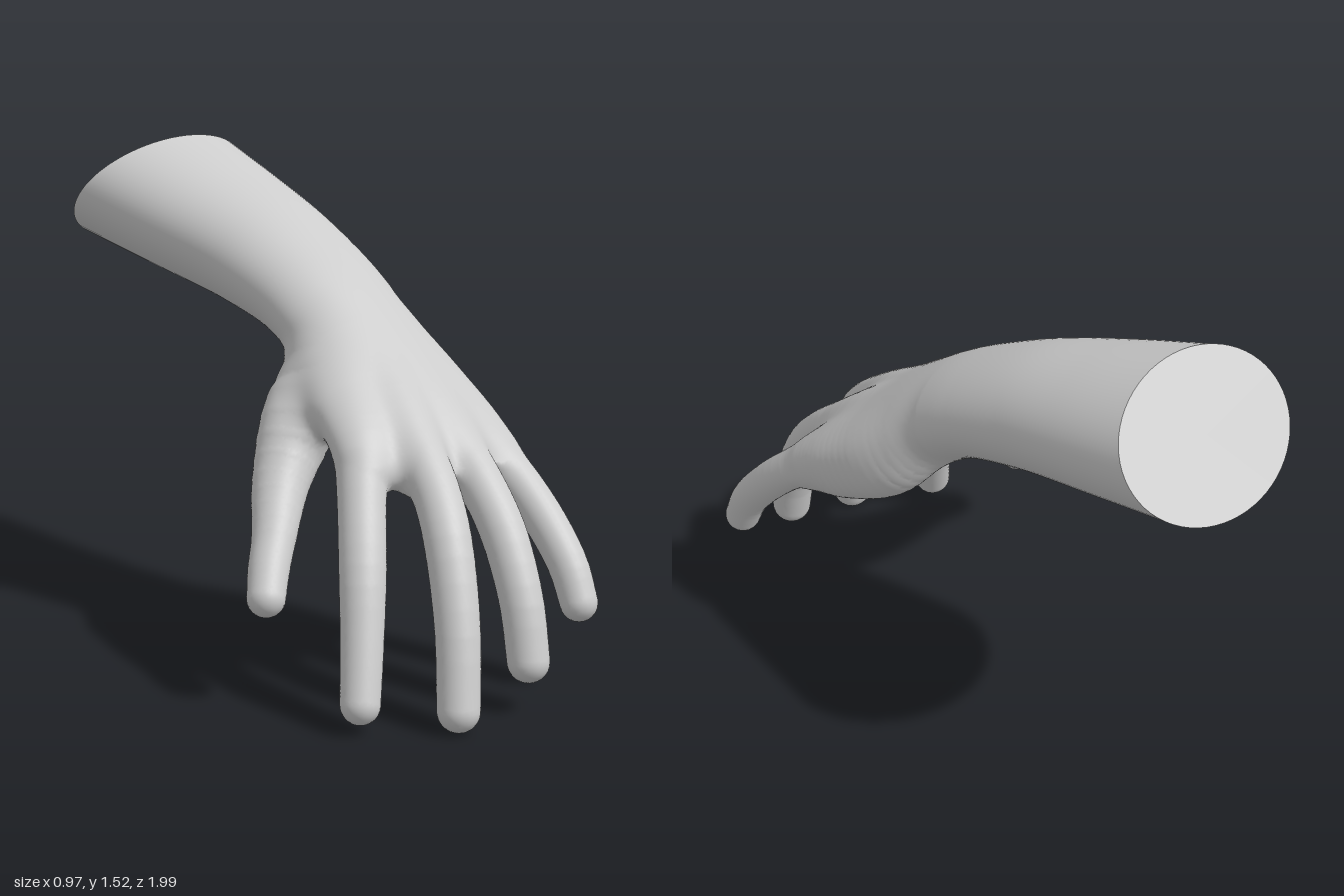
import * as THREE from 'three';

const V = (x, y, z) => new THREE.Vector3(x, y, z);
const spline = (list) => new THREE.CatmullRomCurve3(list);

// Forearm and palm sections: topY, topZ, bottomY, bottomZ, right x, left x, palm hollow
const SECTIONS = [
  [1.52, -0.69, 1.155, -1.0, -0.17, 0.482, 0],
  [1.435, -0.45, 1.085, -0.68, -0.125, 0.45, 0],
  [1.345, -0.22, 1.015, -0.36, -0.075, 0.418, 0],
  [1.24, -0.02, 0.945, -0.13, -0.052, 0.402, 0],
  [1.165, 0.1, 0.88, -0.02, -0.05, 0.395, 0],
  [1.07, 0.225, 0.8, 0.08, -0.085, 0.405, 0.2],
  [0.95, 0.37, 0.725, 0.22, -0.16, 0.425, 0.3],
  [0.835, 0.505, 0.655, 0.38, -0.19, 0.43, 0.25],
  [0.735, 0.595, 0.605, 0.48, -0.15, 0.405, 0.1],
  [0.665, 0.63, 0.59, 0.55, -0.06, 0.34, 0],
];
const STEPS = 90, WRIST = 30;

// Fingers and pads as [x, y, z, radius] points, with the width of their blend into the hand
const LIMBS = {
  palmHeel: { blend: 0.1, points: [
    [0.27, 0.93, 0.1, 0.04], [0.32, 0.81, 0.2, 0.095], [0.352, 0.7, 0.37, 0.082],
    [0.355, 0.63, 0.52, 0.055]] },
  thumb: { blend: 0.09, points: [
    [0.06, 0.94, 0.08, 0.05], [-0.065, 0.795, 0.14, 0.115], [-0.225, 0.61, 0.225, 0.088],
    [-0.33, 0.475, 0.315, 0.067], [-0.388, 0.398, 0.36, 0.062], [-0.432, 0.33, 0.4, 0.058]] },
  indexFinger: { blend: 0.045, points: [
    [0.03, 0.93, 0.22, 0.045], [-0.06, 0.815, 0.355, 0.065], [-0.125, 0.715, 0.465, 0.076],
    [-0.2, 0.575, 0.555, 0.071], [-0.268, 0.42, 0.635, 0.069], [-0.325, 0.245, 0.697, 0.063],
    [-0.376, 0.084, 0.747, 0.059]] },
  middleFinger: { blend: 0.045, points: [
    [0.12, 0.94, 0.25, 0.045], [0.065, 0.825, 0.425, 0.065], [0.015, 0.705, 0.575, 0.075],
    [-0.02, 0.61, 0.685, 0.071], [-0.062, 0.495, 0.775, 0.07], [-0.115, 0.28, 0.87, 0.066],
    [-0.16, 0.063, 0.925, 0.063]] },
  ringFinger: { blend: 0.045, points: [
    [0.2, 0.93, 0.25, 0.045], [0.19, 0.81, 0.425, 0.064], [0.18, 0.695, 0.57, 0.074],
    [0.167, 0.6, 0.69, 0.069], [0.152, 0.495, 0.785, 0.068], [0.13, 0.32, 0.882, 0.065],
    [0.115, 0.152, 0.93, 0.063]] },
  littleFinger: { blend: 0.045, points: [
    [0.28, 0.89, 0.25, 0.045], [0.315, 0.77, 0.4, 0.062], [0.35, 0.66, 0.535, 0.07],
    [0.368, 0.57, 0.65, 0.064], [0.374, 0.468, 0.755, 0.062], [0.372, 0.365, 0.84, 0.06],
    [0.365, 0.27, 0.89, 0.057]] },
};

// Elliptic sections sampled along the forearm and palm
function sampleSections() {
  const [top, bottom, span] = [(s) => V(0, s[0], s[1]), (s) => V(0, s[2], s[3]),
    (s) => V(s[4], s[5], s[6])].map((f) => spline(SECTIONS.map(f)));
  return Array.from({ length: STEPS + 1 }, (_, i) => {
    const a = top.getPoint(i / STEPS), b = bottom.getPoint(i / STEPS);
    const w = span.getPoint(i / STEPS), thick = a.distanceTo(b) / 2;
    return { x: (w.x + w.y) / 2, y: (a.y + b.y) / 2, z: (a.z + b.z) / 2, half: (w.y - w.x) / 2,
      thick, uy: (a.y - b.y) / 2 / thick, uz: (a.z - b.z) / 2 / thick, hollow: w.z };
  });
}

// Height of a point in front of a section's plane
const ahead = (s, y, z) => (z - s.z) * s.uy - (y - s.y) * s.uz;

// Position along the arm, in section steps, found by halving
function stepAt(sections, y, z) {
  let lo = 0, hi = STEPS;
  while (hi - lo > 1) {
    const mid = (lo + hi) >> 1;
    if (ahead(sections[mid], y, z) > 0) lo = mid; else hi = mid;
  }
  const a = ahead(sections[lo], y, z), b = ahead(sections[hi], y, z);
  return lo + Math.min(1, Math.max(0, a / (a - b)));
}

// Distance to the forearm and palm
function armDistance(sections, x, y, z) {
  const t = stepAt(sections, y, z), i = Math.min(STEPS - 1, Math.floor(t)), f = t - i;
  const mix = (key) => sections[i][key] * (1 - f) + sections[i + 1][key] * f;
  const half = mix('half'), thick = mix('thick');
  const cx = (x - mix('x')) / half;
  let cy = ((y - mix('y')) * mix('uy') + (z - mix('z')) * mix('uz')) / thick;
  if (cy < 0) cy /= 1 - mix('hollow') * Math.max(0, 1 - cx * cx);
  const k = Math.hypot(cx, cy);
  const d = (k - 1) * k / (Math.hypot(cx / half, cy / thick) + 1e-6);
  const over = ahead(sections[STEPS], y, z);
  return over > 0 ? Math.hypot(Math.max(d, 0), over) : d;
}

// Distance to a round limb of short tapered pieces
function limbDistance(p, x, y, z) {
  let best = 9;
  for (let i = 0; i < p.length - 1; i++) {
    const a = p[i], b = p[i + 1], ex = b.x - a.x, ey = b.y - a.y, ez = b.z - a.z;
    const qx = x - a.x, qy = y - a.y, qz = z - a.z;
    const h = Math.min(1, Math.max(0, (qx * ex + qy * ey + qz * ez) / (ex * ex + ey * ey + ez * ez)));
    const dx = qx - ex * h, dy = qy - ey * h, dz = qz - ez * h;
    best = Math.min(best, Math.sqrt(dx * dx + dy * dy + dz * dz) - a.r - (b.r - a.r) * h);
  }
  return best;
}

// Hand skin: the blended surface traced on a grid, then sorted into named parts
function handParts(sections) {
  const limbs = Object.entries(LIMBS).map(([name, { blend, points }]) => {
    const path = spline(points.map((p) => V(p[0], p[1], p[2])));
    const radius = spline(points.map((p, i) => V(p[3], i, 0)));
    const pieces = Array.from({ length: 21 }, (_, i) => {
      const c = path.getPoint(i / 20);
      return { x: c.x, y: c.y, z: c.z, r: radius.getPoint(i / 20).x };
    });
    return { name, blend, pieces };
  });
  const field = (x, y, z) => limbs.reduce((d, { blend, pieces }) => {
    const e = limbDistance(pieces, x, y, z), h = Math.max(blend - Math.abs(d - e), 0) / blend;
    return Math.min(d, e) - h * h * blend / 4;
  }, armDistance(sections, x, y, z));
  const nearestPart = (x, y, z) => limbs.slice(1).reduce((best, { name, pieces }) => {
    const d = limbDistance(pieces, x, y, z);
    return d < best.d ? { d, name } : best;
  }, { d: armDistance(sections, x, y, z), name: 'palm' }).name;

  const cell = 0.0145, origin = [-0.53, -0.04, -0.2], size = [73, 95, 86];
  const stride = [1, size[0], size[0] * size[1]];
  const values = new Float32Array(stride[2] * size[2]);
  const at = (i) => [i % size[0], Math.floor(i / stride[1]) % size[1], Math.floor(i / stride[2])];
  const place = (g) => g.map((v, a) => origin[a] + v * cell);
  for (let i = 0; i < values.length; i++) values[i] = field(...place(at(i)));

  // One vertex in each grid cell the surface crosses, with the field's slope as its normal
  const cache = new Map();
  const vertex = (i) => {
    if (cache.has(i)) return cache.get(i);
    const g = at(i), sum = [0, 0, 0];
    let count = 0;
    for (let corner = 0; corner < 8; corner++) for (let a = 0; a < 3; a++) {
      if (corner >> a & 1) continue;
      const bits = [corner & 1, corner >> 1 & 1, corner >> 2 & 1];
      const k = i + bits[0] + bits[1] * stride[1] + bits[2] * stride[2];
      const u = values[k], v = values[k + stride[a]];
      if (u < 0 === v < 0) continue;
      bits[a] = u / (u - v);
      bits.forEach((b, n) => { sum[n] += b; });
      count++;
    }
    const p = place(g.map((v, a) => v + sum[a] / count)), e = 0.004;
    const slope = V(...[0, 1, 2].map((a) => {
      const step = (s) => field(...p.map((v, n) => v + (n === a ? s : 0)));
      return (step(e) - step(-e)) / (2 * e);
    }));
    const shift = field(...p) / Math.max(slope.length(), 0.5);
    const normal = slope.normalize().toArray();
    const result = { p: p.map((v, a) => v - normal[a] * shift), normal };
    cache.set(i, result);
    return result;
  };

  const parts = {};
  for (let i = 0; i < values.length; i++) {
    const g = at(i);
    if (g.some((v, a) => v < 1 || v > size[a] - 2)) continue;
    for (let a = 0; a < 3; a++) {
      const inside = values[i] < 0;
      if (inside === values[i + stride[a]] < 0) continue;
      const u = stride[(a + 1) % 3], v = stride[(a + 2) % 3];
      const [, y, z] = place(g);
      if (stepAt(sections, y, z) < WRIST) continue;
      const quad = [i - u - v, i - v, i, i - u].map(vertex);
      if (!inside) quad.reverse();
      const part = parts[nearestPart(...quad[0].p)] ??= { pos: [], nor: [] };
      for (const n of [0, 1, 2, 0, 2, 3]) {
        part.pos.push(...quad[n].p);
        part.nor.push(...quad[n].normal);
      }
    }
  }
  return parts;
}

// Forearm skin, and the flat slanted cut that closes it
function forearm(sections) {
  const n = 64, pos = [], index = [];
  sections.slice(0, WRIST + 4).forEach((s, i) => {
    for (let j = 0; j < n; j++) {
      const q = j / n * Math.PI * 2, h = s.thick * Math.sin(q), a = i * n + j, b = i * n + (j + 1) % n;
      pos.push(s.x + s.half * Math.cos(q), s.y + s.uy * h, s.z + s.uz * h);
      if (i < WRIST + 3) index.push(a, b, a + n, b, b + n, a + n);
    }
  });
  const skin = new THREE.BufferGeometry();
  skin.setAttribute('position', new THREE.Float32BufferAttribute(pos, 3));
  skin.setIndex(index);
  skin.computeVertexNormals();
  const s = sections[0];
  const cut = new THREE.CircleGeometry(1, n).scale(-s.half, s.thick, -1)
    .rotateX(Math.atan2(s.uz, s.uy)).translate(s.x, s.y, s.z);
  return { skin, cut };
}

export function createModel() {
  const group = new THREE.Group();
  const skin = new THREE.MeshStandardMaterial({ color: 0xcccccc });
  skin.name = 'paleGrey';
  const add = (name, geo) => {
    const mesh = new THREE.Mesh(geo, skin);
    mesh.name = name;
    group.add(mesh);
  };
  const sections = sampleSections(), arm = forearm(sections);
  add('forearm', arm.skin);
  add('forearmCut', arm.cut);
  for (const [name, { pos, nor }] of Object.entries(handParts(sections))) {
    const geo = new THREE.BufferGeometry();
    geo.setAttribute('position', new THREE.Float32BufferAttribute(pos, 3));
    geo.setAttribute('normal', new THREE.Float32BufferAttribute(nor, 3));
    add(name, geo);
  }
  return group;
}
